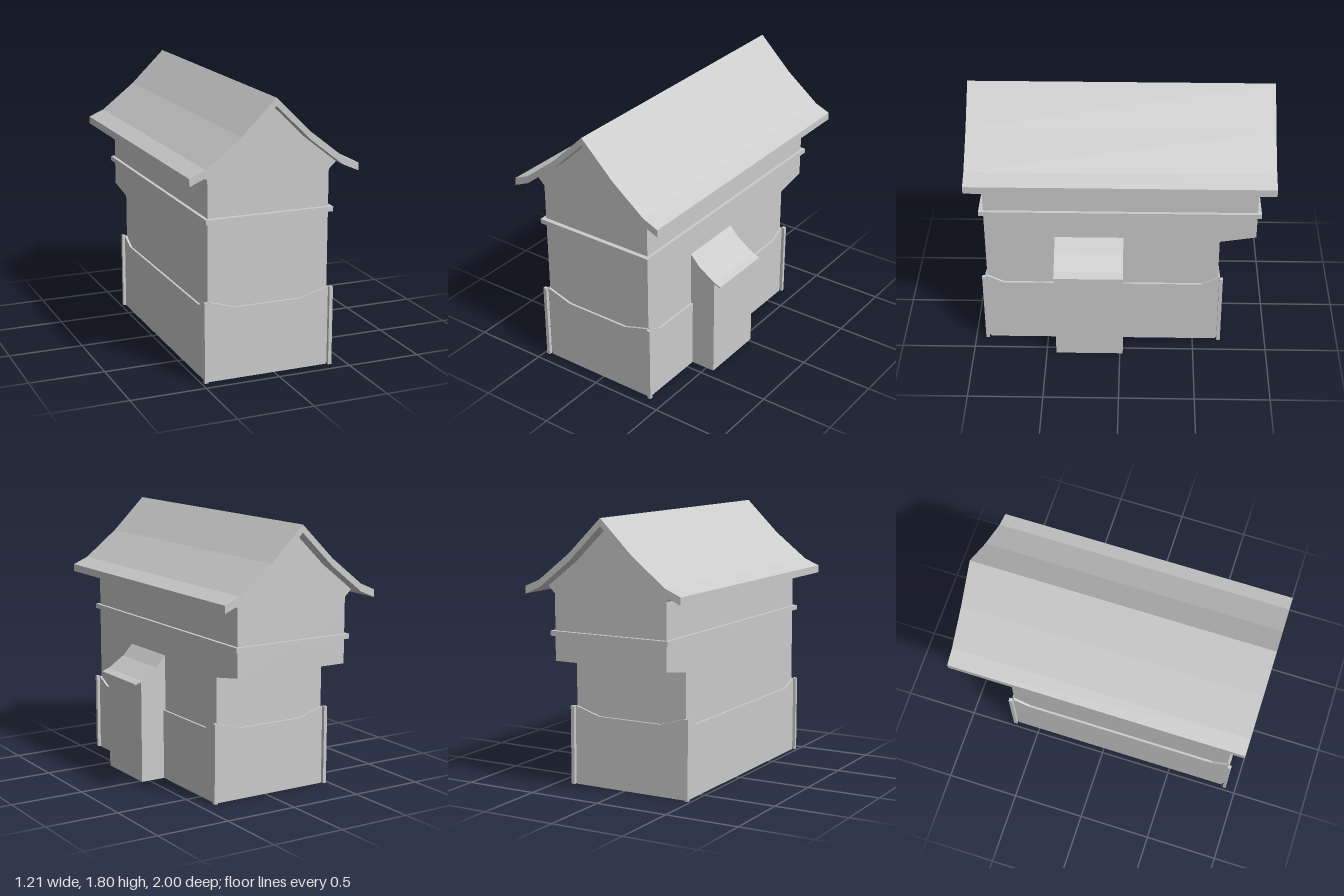
import * as THREE from 'three';

const MID = -0.04;              // centre line of the house in x
const HALF = 0.41;              // half width of the walls
const FRONT = 0.9, BACK = -0.66, UPPER_BACK = -0.9;
const PORCH = { z0: -0.02, z1: 0.435, wall: 0.555 };

const material = new THREE.MeshStandardMaterial({ color: 0xcccccc, flatShading: true });

function shapeOf(points) {
  return new THREE.Shape(points.map(([x, y]) => new THREE.Vector2(x, y)));
}

// Extrudes an (x, y) outline from z0 to z1
function alongZ(points, z0, z1) {
  return new THREE.ExtrudeGeometry(shapeOf(points), { depth: z1 - z0, bevelEnabled: false })
    .translate(0, 0, z0);
}

// Extrudes a (z, y) outline from x0 to x1
function alongX(points, x0, x1) {
  return new THREE.ExtrudeGeometry(shapeOf(points), { depth: x1 - x0, bevelEnabled: false })
    .rotateY(-Math.PI / 2).translate(x1, 0, 0);
}

function boxBetween(x0, x1, y0, y1, z0, z1) {
  return new THREE.BoxGeometry(x1 - x0, y1 - y0, z1 - z0)
    .translate((x0 + x1) / 2, (y0 + y1) / 2, (z0 + z1) / 2);
}

// Mirrors a half profile, listed from the ridge outwards, about the centre line
function mirrored(half) {
  const left = half.slice(1).reverse().map(([d, y]) => [MID - d, y]);
  return [...left, ...half.map(([d, y]) => [MID + d, y])];
}

// Closed band: the upper line plus the same line lowered by t
function band(line, t) {
  return [...line, ...line.slice().reverse().map(([x, y]) => [x, y - t])];
}

// Skirt outline with a sagging top edge between two raised ends
function skirt(a, b, inset) {
  return [[a, 0], [b, 0], [b, 0.53], [b - inset, 0.475], [a + inset, 0.475], [a, 0.53]];
}

export function createModel() {
  const model = new THREE.Group();
  const add = (name, geometry) => {
    const mesh = new THREE.Mesh(geometry, material);
    mesh.name = name;
    model.add(mesh);
  };
  const x0 = MID - HALF, x1 = MID + HALF;

  // Walls, with the upper storey jutting out at the back
  add('walls', alongX([
    [BACK, 0], [FRONT, 0], [FRONT, 1.2], [UPPER_BACK, 1.2], [UPPER_BACK, 0.865], [BACK, 0.825],
  ], x0, x1));

  // Gabled top of the walls, flaring out under the eaves
  const gable = mirrored([[0, 1.755], [0.23, 1.53], [0.46, 1.347], [HALF, 1.3], [HALF, 1.2]]);
  add('gable', alongZ(gable, UPPER_BACK, FRONT));

  // Curved roof slab
  const roofLine = mirrored([[0, 1.8], [0.23, 1.575], [0.46, 1.395], [0.565, 1.35]]);
  add('roof', alongZ(band(roofLine, 0.05), -1, 1));

  // Trim band around the upper storey
  add('trimBand', boxBetween(x0 - 0.022, x1 + 0.022, 1.03, 1.062, UPPER_BACK - 0.025, FRONT + 0.03));

  // Base skirt on all four sides
  const t = 0.015;
  add('frontSkirt', alongZ(skirt(x0, x1, 0.18), FRONT, FRONT + t));
  add('backSkirt', alongZ(skirt(x0, x1, 0.18), BACK - t, BACK));
  add('leftSkirt', alongX(skirt(BACK, FRONT, 0.11), x1, x1 + t));
  add('rightSkirt', alongX(skirt(BACK, FRONT, 0.11), x0 - t, x0));

  // Corner posts
  for (const sx of [-1, 1]) {
    for (const [z, sz] of [[FRONT, 1], [BACK, -1]]) {
      const post = new THREE.BoxGeometry(0.024, 0.53, 0.024);
      add('cornerPost', post.translate(MID + sx * (HALF + 0.02), 0.265, z + sz * 0.02));
    }
  }

  // Side porch under a small swept roof
  const porchLine = [[x1, 0.85], [0.44, 0.775], [PORCH.wall, 0.7], [0.605, 0.682]];
  const porchWall = [[x1 - 0.02, 0], [PORCH.wall, 0], [PORCH.wall, 0.695], [0.44, 0.768], [x1, 0.843], [x1 - 0.02, 0.843]];
  add('porch', alongZ(porchWall, PORCH.z0, PORCH.z1));
  add('porchRoof', alongZ(band(porchLine, 0.01), PORCH.z0 - 0.001, PORCH.z1 + 0.001));

  return model;
}
